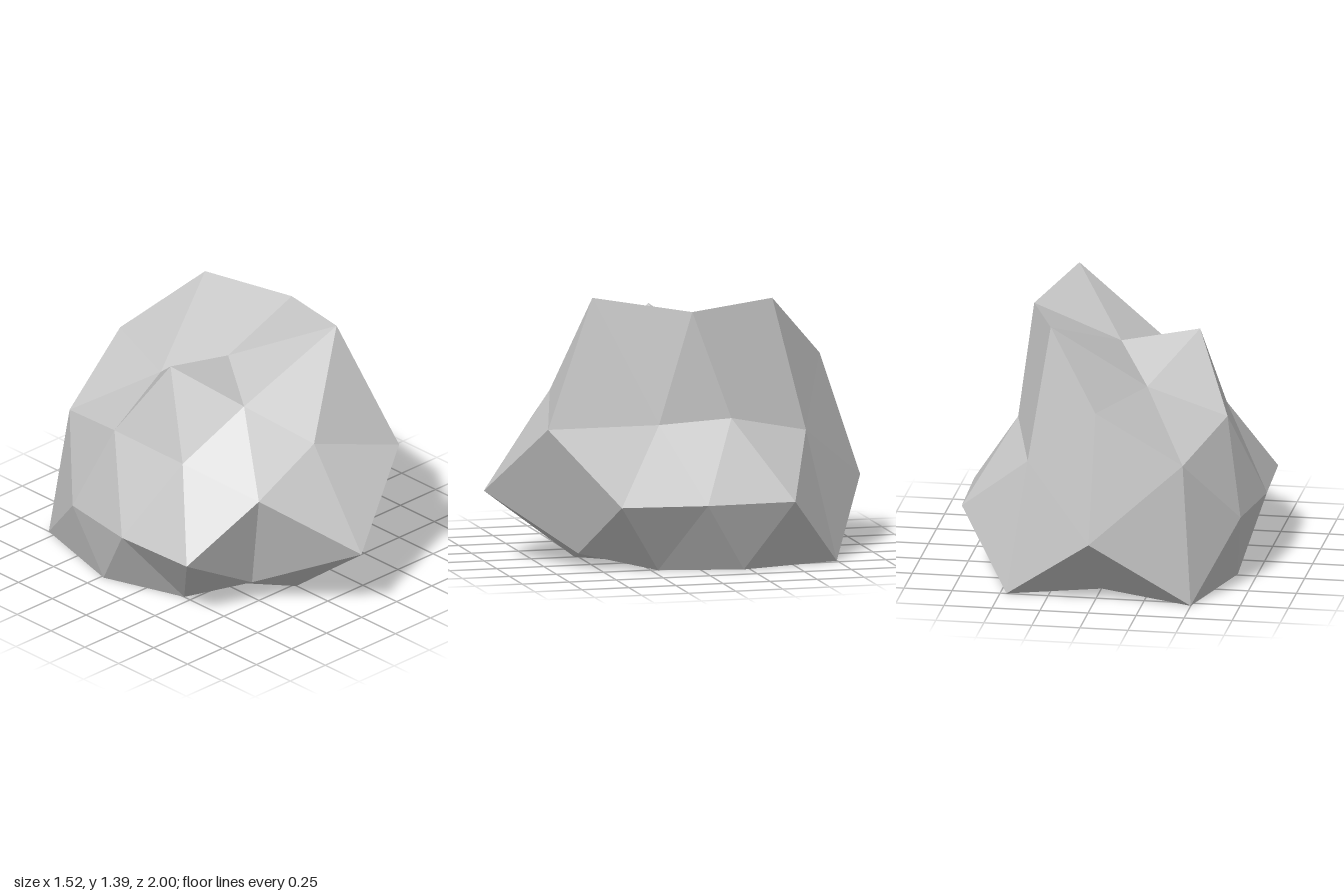
import * as THREE from 'three';

// Radial scale of each corner, by family of directions; signs run + then - for x, y, z.
const families = [
  [[0.809, 0.5, 0.309], [0.765, 0.815, 0.835, 0.98, 0.832, 0.955, 0.803, 1.047]],
  [[0.309, 0.809, 0.5], [1.273, 1.22, 0.75, 0.75, 0.842, 0.79, 0.75, 0.75]],
  [[0.5, 0.309, 0.809], [1.24, 1.0, 0.93, 1.226, 1.005, 1.15, 0.78, 1.3]],
  [[0.526, 0.851, 0], [1.128, 0.85, 1.02, 0.85]],
  [[0, 0.526, 0.851], [0.97, 1.22, 0.77, 0.92]],
  [[0.851, 0, 0.526], [1.098, 1.155, 1.135, 1.065]],
  [[1, 0, 0], [1.0, 0.99]],
  [[0, 1, 0], [0.782, 0.8]],
  [[0, 0, 1], [1.28, 1.318]],
];

function cornerList() {
  const corners = [];
  const signs = (c) => (c === 0 ? [1] : [1, -1]);
  for (const [[x, y, z], scales] of families) {
    let i = 0;
    for (const sx of signs(x)) for (const sy of signs(y)) for (const sz of signs(z)) {
      corners.push({ dir: new THREE.Vector3(x * sx, y * sy, z * sz), scale: scales[i++] });
    }
  }
  return corners;
}

export function createModel() {
  const group = new THREE.Group();
  group.name = 'rock';

  const stone = new THREE.MeshStandardMaterial({ color: 0xc5c5c5, flatShading: true });
  stone.name = 'light grey stone';

  // Faceted ball, pushed in and out at each corner, narrowed, and cut flat at the ground
  const geometry = new THREE.IcosahedronGeometry(1, 1);
  const position = geometry.attributes.position;
  const corners = cornerList();
  const v = new THREE.Vector3();
  for (let i = 0; i < position.count; i++) {
    v.fromBufferAttribute(position, i);
    const { scale } = corners.find((c) => c.dir.distanceTo(v) < 0.05);
    position.setXYZ(
      i,
      -0.002 + 0.765 * scale * v.x,
      Math.max(0, 0.365 + scale * v.y),
      0.015 + 0.77 * scale * v.z
    );
  }
  geometry.computeVertexNormals();

  const boulder = new THREE.Mesh(geometry, stone);
  boulder.name = 'boulder';
  group.add(boulder);
  return group;
}
